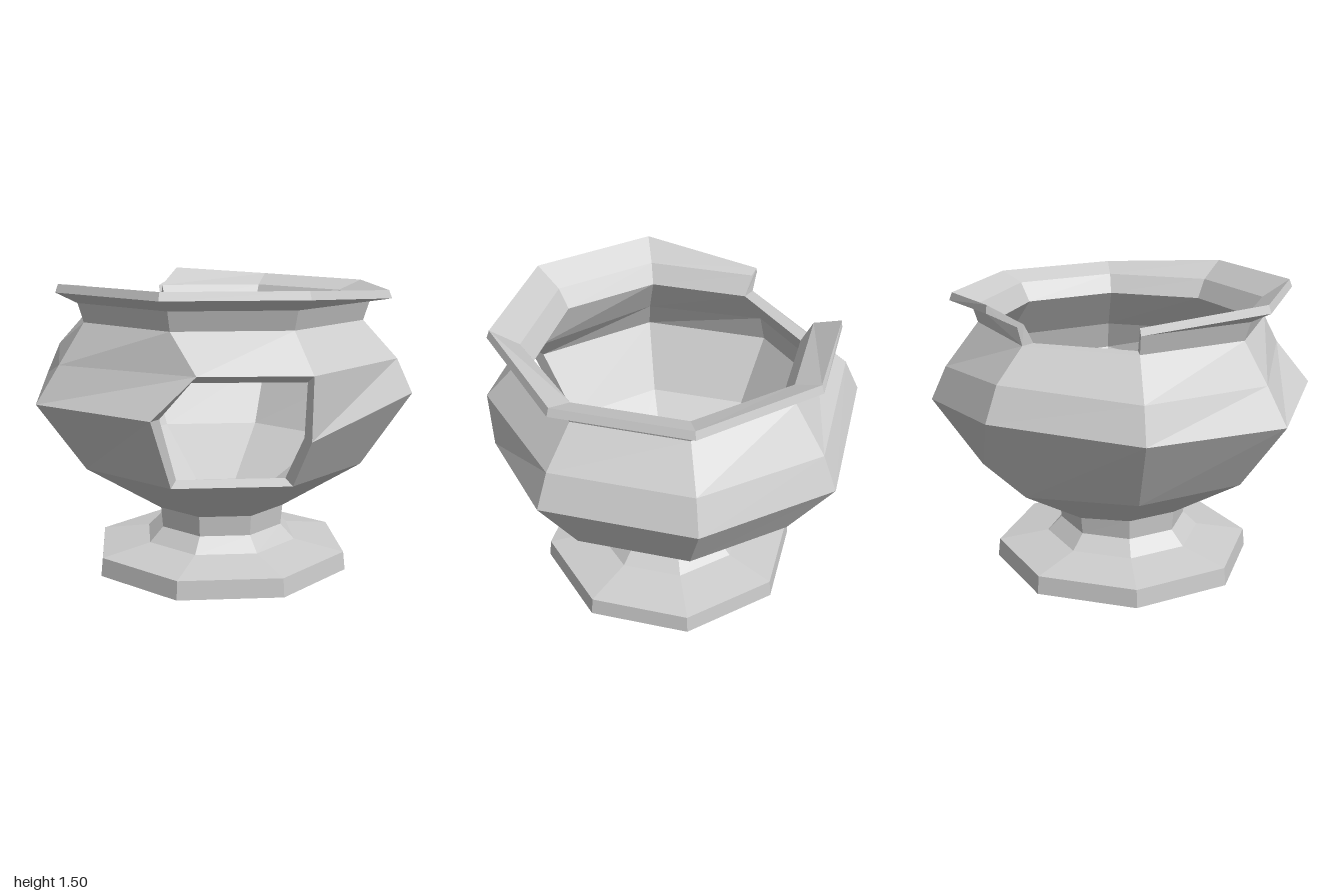
import * as THREE from 'three';

const SIDES = 8;
const CENTRE_Z = 0.045;
const material = new THREE.MeshStandardMaterial({ color: 0xcccccc, flatShading: true, side: THREE.DoubleSide });

// Eight corners, counted from the front (+z) towards +x; moved = { corner: [x, y, z] }
function ring(radius, y, moved = {}) {
  return Array.from({ length: SIDES }, (_, k) => {
    if (moved[k]) return moved[k];
    const a = (k * Math.PI * 2) / SIDES;
    return [radius * Math.sin(a), y, radius * Math.cos(a) + CENTRE_Z];
  });
}

// Same ring with some corners raised or lowered; lift = { corner: dy }
function lifted(corners, lift) {
  return corners.map(([x, y, z], k) => [x, y + (lift[k] || 0), z]);
}

function quad(out, a, b, c, d) {
  out.push(...a, ...b, ...c, ...a, ...c, ...d);
}

// Joins neighbouring rings; outside faces run upwards, inside faces downwards
function skin(out, rings, isOpen = () => false) {
  for (let i = 0; i + 1 < rings.length; i++) {
    for (let k = 0; k < SIDES; k++) {
      if (isOpen(i, k)) continue;
      const n = (k + 1) % SIDES;
      quad(out, rings[i][k], rings[i][n], rings[i + 1][n], rings[i + 1][k]);
    }
  }
}

// Flat fan over a closed loop of points
function fan(out, points) {
  for (let i = 1; i + 1 < points.length; i++) out.push(...points[0], ...points[i], ...points[i + 1]);
}

function makeMesh(name, positions) {
  const geometry = new THREE.BufferGeometry();
  geometry.setAttribute('position', new THREE.Float32BufferAttribute(positions, 3));
  geometry.computeVertexNormals();
  const mesh = new THREE.Mesh(geometry, material);
  mesh.name = name;
  return mesh;
}

export function createModel() {
  const urn = new THREE.Group();
  urn.name = 'brokenUrn';

  // Rings of the bowl, outside and inside, with worn and shifted corners
  const stemTop = lifted(ring(0.345, 0.32), { 3: -0.01, 4: -0.015 });
  const outer = [
    stemTop,
    lifted(ring(0.75, 0.575), { 3: -0.04, 4: -0.025 }),
    lifted(ring(1, 0.955, { 0: [0, 0.82, 0.955] }), { 3: -0.05, 4: 0.035, 6: -0.03, 7: -0.01 }),
    lifted(ring(0.92, 1.125, { 6: [-0.88, 1.11, 0.05], 7: [-0.49, 1.13, 0.77] }), { 3: -0.045, 4: 0.035 }),
    ring(0.745, 1.31),
  ];
  const inner = [
    ring(0.285, 0.36),
    ring(0.68, 0.6),
    ring(0.89, 0.935, { 0: [0, 0.83, 0.89] }),
    ring(0.84, 1.09, { 0: [0, 1.09, 0.91], 6: [-0.81, 1.09, 0.05], 7: [-0.48, 1.09, 0.69] }),
    ring(0.67, 1.31),
  ];

  // Foot: stepped base and short stem
  const foot = [];
  const base = ring(0.685, 0);
  skin(foot, [base, ring(0.675, 0.095), ring(0.41, 0.14), ring(0.335, 0.215), stemTop]);
  fan(foot, [...base].reverse());
  urn.add(makeMesh('foot', foot));

  // Bowl: two skins with a missing panel beside the front corner
  const HOLE = 7;
  const bowl = [];
  skin(bowl, outer, (i, k) => k === HOLE && (i === 1 || i === 2));
  skin(bowl, [...inner].reverse(), (i, k) => k === HOLE && (i === 1 || i === 2));
  fan(bowl, inner[0]);
  urn.add(makeMesh('bowl', bowl));

  // Thickness of the wall around the hole
  const holeEdge = [];
  const loop = [[1, 7], [1, 0], [2, 0], [3, 0], [3, 7], [2, 7]];
  loop.forEach(([i, k], s) => {
    const [j, m] = loop[(s + 1) % loop.length];
    quad(holeEdge, outer[i][k], inner[i][k], inner[j][m], outer[j][m]);
  });
  urn.add(makeMesh('holeEdge', holeEdge));

  // Neck and flared rim: sagging on the left, broken away at the back
  const GAP = 4;
  const sag = { 1: -0.04, 2: -0.04, 3: -0.035 };
  const collar = [
    outer[4],
    ring(0.775, 1.405),
    lifted(ring(0.885, 1.46, { 4: [0.14, 1.46, -0.79], 5: [-0.55, 1.405, -0.505] }), sag),
    lifted(ring(0.87, 1.5, { 4: [0.14, 1.5, -0.785], 5: [-0.54, 1.44, -0.5] }), sag),
    ring(0.73, 1.41),
    inner[4],
  ];
  const rim = [];
  skin(rim, collar, (i, k) => k === GAP);
  fan(rim, collar.map((c) => c[GAP]));
  fan(rim, collar.map((c) => c[GAP + 1]).reverse());
  quad(rim, outer[4][GAP], outer[4][GAP + 1], inner[4][GAP + 1], inner[4][GAP]);
  urn.add(makeMesh('neckAndRim', rim));

  return urn;
}
